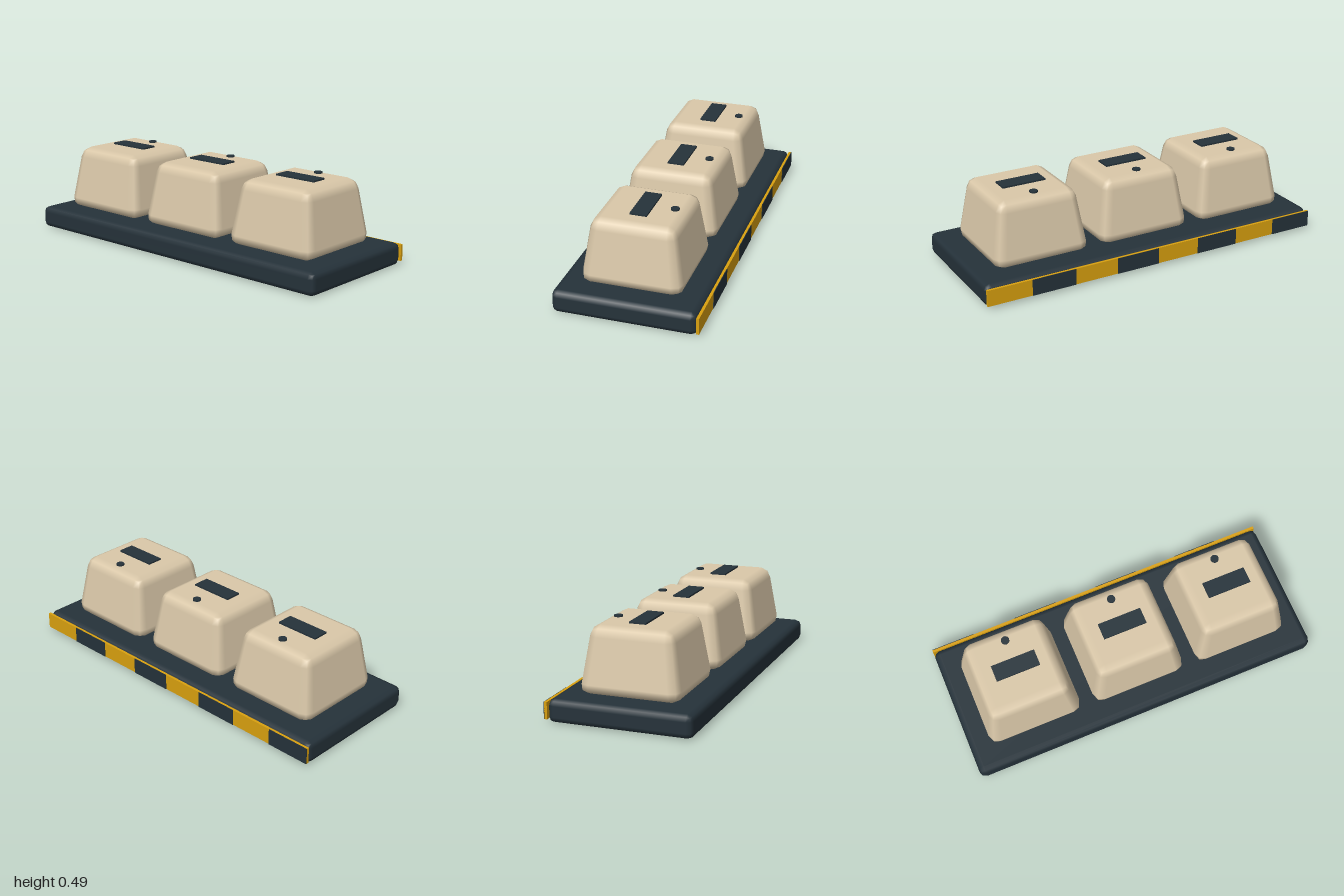
import * as THREE from 'three';
import { RoundedBoxGeometry } from 'three/addons/geometries/RoundedBoxGeometry.js';

const BASE_TOP = 0.124, POD_TOP = 0.478, MID_Z = 0.008;

const flat = (name, color) => {
  const m = new THREE.MeshStandardMaterial({ color });
  m.name = name;
  return m;
};

// Rounded block whose sides lean inward towards the top
function taperedBlock(size, height, radius, topScale) {
  const geo = new RoundedBoxGeometry(size, height, size, 1, radius);
  const pos = geo.attributes.position, nor = geo.attributes.normal;
  const slope = (size / 2) * (1 - topScale) / height;
  const n = new THREE.Vector3();
  for (let i = 0; i < pos.count; i++) {
    const s = 1 - (1 - topScale) * (pos.getY(i) / height + 0.5);
    pos.setX(i, pos.getX(i) * s);
    pos.setZ(i, pos.getZ(i) * s);
    n.fromBufferAttribute(nor, i);
    n.y += slope * Math.hypot(n.x, n.z);
    n.normalize();
    nor.setXYZ(i, n.x, n.y, n.z);
  }
  return geo;
}

export function createModel() {
  const model = new THREE.Group();
  const dark = flat('dark slate', 0x25323a);
  const beige = flat('warm beige', 0xdac8a9);
  const yellow = flat('warning yellow', 0xd9a00f);

  const add = (parent, name, geo, mat, x, y, z) => {
    const mesh = new THREE.Mesh(geo, mat);
    mesh.name = name;
    mesh.position.set(x, y, z);
    parent.add(mesh);
    return mesh;
  };

  // Base slab
  add(model, 'base', new RoundedBoxGeometry(2, BASE_TOP, 0.767, 1, 0.033), dark,
    0, BASE_TOP / 2, MID_Z);

  // Three pods, each with a slot plate and a small round button
  const podHeight = POD_TOP - BASE_TOP;
  const podGeo = taperedBlock(0.554, podHeight, 0.057, 0.8);
  const slotGeo = new THREE.BoxGeometry(0.246, 0.009, 0.091);
  const buttonGeo = new THREE.CylinderGeometry(0.0225, 0.0225, 0.009, 16);
  for (const x of [-0.615, 0, 0.615]) {
    const pod = new THREE.Group();
    pod.name = 'pod';
    pod.position.set(x, 0, MID_Z);
    add(pod, 'podBody', podGeo, beige, 0, BASE_TOP + podHeight / 2, 0);
    add(pod, 'slotPlate', slotGeo, dark, 0, POD_TOP + 0.007, 0);
    add(pod, 'button', buttonGeo, dark, 0, POD_TOP + 0.004, -0.155);
    model.add(pod);
  }

  // Hazard strip along the back edge, with dark blocks over the yellow
  add(model, 'hazardStrip', new THREE.BoxGeometry(2, 0.09, 0.015), yellow, 0, 0.065, -0.3815);
  const blockGeo = new THREE.BoxGeometry(0.25, 0.09, 0.004);
  for (let i = 0; i < 4; i++) {
    add(model, 'hazardBlock', blockGeo, dark, -0.875 + i * 0.5, 0.065, -0.39);
  }
  return model;
}
